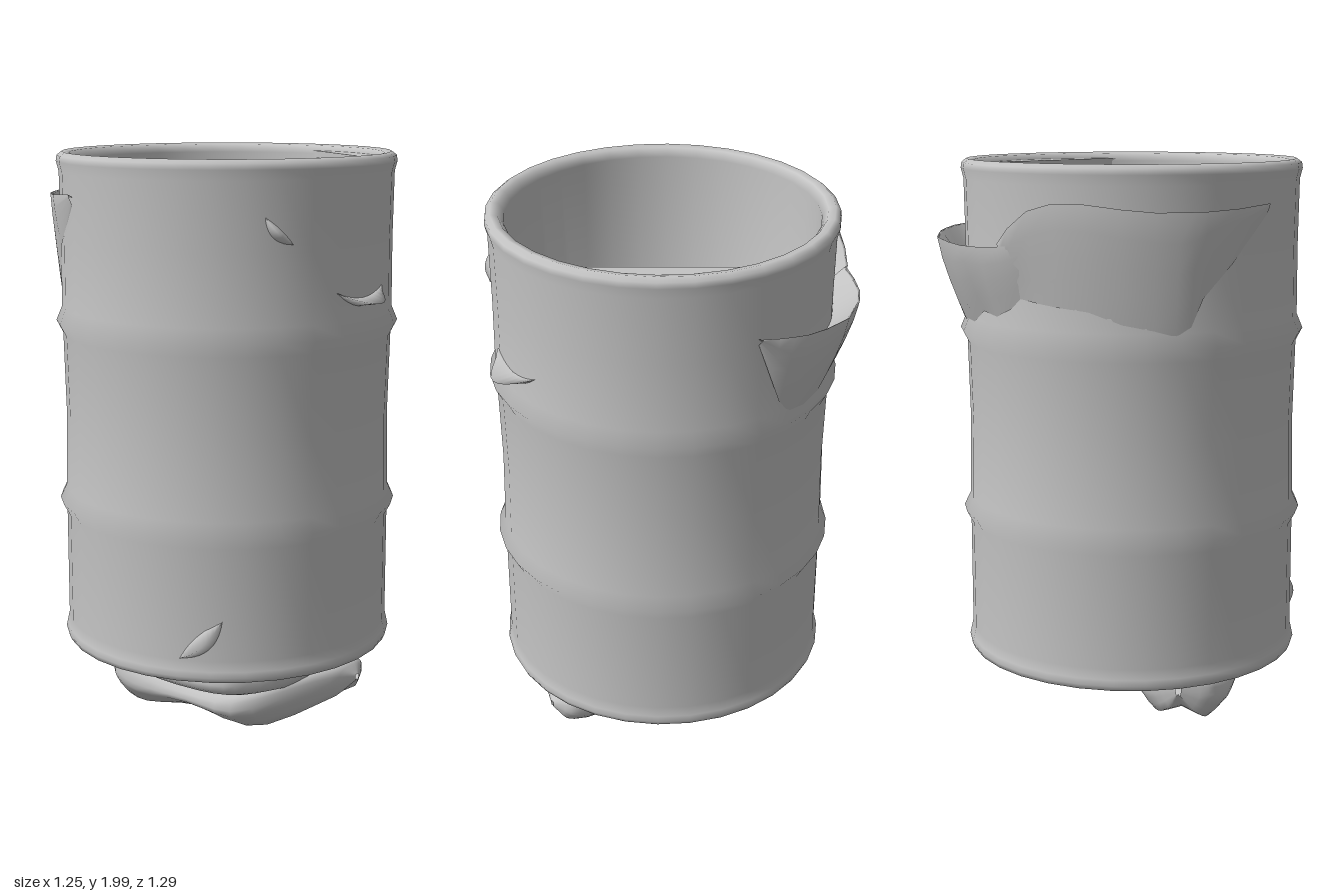
import * as THREE from 'three';

const CX = -0.018, CZ = -0.015;
const grey = new THREE.MeshStandardMaterial({ color: 0xc4c4c4, side: THREE.DoubleSide });
grey.name = 'grey metal';

function add(parent, name, geo) {
  const m = new THREE.Mesh(geo, grey);
  m.name = name;
  parent.add(m);
  return m;
}

// Smooth surface through rows of points; optionally closed around each row
function skin(rows, closed) {
  const n = rows[0].length, idx = [];
  const cols = closed ? n : n - 1;
  for (let i = 0; i < rows.length - 1; i++)
    for (let j = 0; j < cols; j++) {
      const a = i * n + j, b = i * n + (j + 1) % n;
      idx.push(a, b, a + n, b, b + n, a + n);
    }
  const g = new THREE.BufferGeometry();
  g.setAttribute('position', new THREE.Float32BufferAttribute(rows.flat(2), 3));
  g.setIndex(idx);
  g.computeVertexNormals();
  return g;
}

// Lumpy body from rounded sections [z, cx, cy, rx, ry]; sag splits the underside in two lobes
function lump(sections, sag) {
  const curve = (f) => new THREE.CatmullRomCurve3(sections.map((s) => new THREE.Vector3(...f(s))));
  const mid = curve((s) => [s[1], s[2], s[0]]);
  const rad = curve((s) => [s[3], s[4], 0]);
  const rows = [];
  for (let i = 20; i >= 0; i--) {
    const t = i / 20, c = mid.getPoint(t), r = rad.getPoint(t), row = [];
    for (let j = 0; j < 24; j++) {
      const a = (j / 24) * Math.PI * 2, ca = Math.cos(a), sa = Math.sin(a);
      const x = Math.sign(ca) * Math.abs(ca) ** 0.7 * r.x;
      const lobe = sa < 0 ? 1 - sag * Math.cos(ca * 6.5) : 1;
      const y = Math.sign(sa) * Math.abs(sa) ** 0.7 * r.y * lobe;
      row.push([c.x + x, Math.max(0, c.y + y), c.z]);
    }
    rows.push(row);
  }
  return skin(rows, true);
}

// Torn pocket around the barrel: stations [degrees, top y, bottom y, top radius]
function flap(stations) {
  return skin(stations.map(([deg, top, bottom, r]) => {
    const a = THREE.MathUtils.degToRad(deg);
    const at = (y, rr) => [CX + Math.cos(a) * rr, y, CZ - Math.sin(a) * rr];
    const row = [at(THREE.MathUtils.lerp(top, bottom, 0.35), 0.582), at(top - 0.004, r - 0.008)];
    for (let k = 0; k <= 4; k++) {
      const t = k / 4;
      row.push(at(THREE.MathUtils.lerp(top, bottom, t), THREE.MathUtils.lerp(r, 0.586, t ** 1.3)));
    }
    return row;
  }), false);
}

// Pointed leaf standing off the wall, with ends bent up
function leaf(len, h, out, bend) {
  const rows = [];
  for (let i = 0; i <= 10; i++) {
    const s = i / 5 - 1, w = 1 - s * s, x = s * len, z = -x * x / 1.16;
    rows.push([[x, bend * s * s + h * w, z], [x, bend * s * s, z + out * w ** 1.6 + 0.006], [x, bend * s * s - h * w, z]]);
  }
  return skin(rows, false);
}

export function createModel() {
  const group = new THREE.Group();
  group.name = 'barrel';

  // Drum: recessed underside, rims, two soft hoops and deep hollow top in one profile
  const profile = [
    [0, 0.46], [0.4, 0.46], [0.46, 0.44], [0.475, 0.4], [0.47, 0.3], [0.465, 0.27], [0.49, 0.255], [0.56, 0.25],
    [0.588, 0.252], [0.596, 0.27], [0.592, 0.29], [0.584, 0.325],
    [0.583, 0.72], [0.606, 0.762], [0.583, 0.81],
    [0.577, 1.08], [0.583, 1.365], [0.606, 1.41], [0.585, 1.46],
    [0.583, 1.7], [0.586, 1.93], [0.595, 1.965], [0.592, 1.985], [0.575, 1.998], [0.55, 1.993], [0.53, 1.965],
    [0.51, 0.5], [0, 0.49],
  ].map((p) => new THREE.Vector2(...p));
  const drum = add(group, 'drum', new THREE.LatheGeometry(profile, 32));
  drum.position.set(CX, 0, CZ);

  // Leftover piece of lid inside the rim
  const s = new THREE.Shape();
  s.absarc(0, 0, 0.55, -1.2, 0.1, false);
  s.lineTo(0.52, -0.02);
  s.lineTo(0.26, -0.44);
  const lid = add(group, 'lidRemnant', new THREE.ExtrudeGeometry(s, { depth: 0.025, bevelEnabled: false, curveSegments: 12 }));
  lid.rotation.x = -Math.PI / 2;
  lid.position.set(CX, 1.95, CZ);

  // Torn sheets wrapped round the back
  add(group, 'sideFlap', flap([
    [-1, 1.76, 1.73, 0.61], [4, 1.757, 1.6, 0.63], [8, 1.755, 1.5, 0.645], [13, 1.75, 1.44, 0.66], [20, 1.745, 1.425, 0.672],
    [30, 1.735, 1.44, 0.684], [42, 1.73, 1.455, 0.678], [50, 1.725, 1.5, 0.67], [58, 1.725, 1.49, 0.655],
    [65, 1.73, 1.52, 0.642], [72, 1.74, 1.58, 0.625],
  ]));
  add(group, 'backFlap', flap([
    [65, 1.74, 1.6, 0.643], [69, 1.79, 1.56, 0.642], [76, 1.85, 1.55, 0.636], [84, 1.875, 1.54, 0.63], [94, 1.875, 1.53, 0.628],
    [105, 1.86, 1.49, 0.625], [115, 1.85, 1.47, 0.622], [122, 1.85, 1.45, 0.62], [127, 1.85, 1.48, 0.62],
    [131, 1.85, 1.57, 0.618], [142, 1.855, 1.68, 0.612], [157, 1.865, 1.83, 0.6],
  ]));

  // Small metal burrs: degrees, y, roll and leaf sizes
  for (const [name, deg, y, roll, ...size] of [
    ['frontBurr', -90, 1.518, 0, 0.13, 0.014, 0.07, 0.04],
    ['upperBurr', -125, 1.762, -0.75, 0.065, 0.018, 0.02, 0.012],
    ['lowerBurr', -149, 0.39, 0.75, 0.1, 0.03, 0.04, 0.012],
  ]) {
    const a = THREE.MathUtils.degToRad(deg);
    const burr = add(group, name, leaf(...size).rotateZ(roll));
    burr.position.set(CX + Math.cos(a) * 0.583, y, CZ - Math.sin(a) * 0.583);
    burr.rotation.y = a + Math.PI / 2;
  }

  // Crumpled scrap slanting across under the base
  add(group, 'lowerScrap', lump([
    [0.52, 0.06, 0.15, 0.01, 0.01], [0.48, 0.04, 0.15, 0.11, 0.055], [0.3, -0.12, 0.095, 0.24, 0.075],
    [0.1, -0.19, 0.105, 0.21, 0.045], [-0.14, -0.25, 0.115, 0.17, 0.08], [-0.25, -0.28, 0.14, 0.11, 0.07], [-0.29, -0.28, 0.16, 0.01, 0.02],
  ], 0.25));
  add(group, 'upperScrap', lump([
    [0.46, -0.08, 0.22, 0.02, 0.01], [0.4, -0.1, 0.21, 0.19, 0.05], [0.3, -0.18, 0.21, 0.25, 0.06], [0.1, -0.26, 0.21, 0.21, 0.055],
    [-0.15, -0.31, 0.21, 0.13, 0.045], [-0.28, -0.3, 0.2, 0.02, 0.01],
  ], 0));
  add(group, 'rolledEnd', new THREE.SphereGeometry(1, 20, 14).scale(0.065, 0.055, 0.1).translate(0.085, 0.16, 0.4));

  // Folded strip along the edge of the scrap
  const strip = add(group, 'foldedStrip', new THREE.BoxGeometry(0.76, 0.05, 0.08));
  strip.position.set(-0.07, 0.19, 0.07);
  strip.rotation.y = -1.05;
  return group;
}
